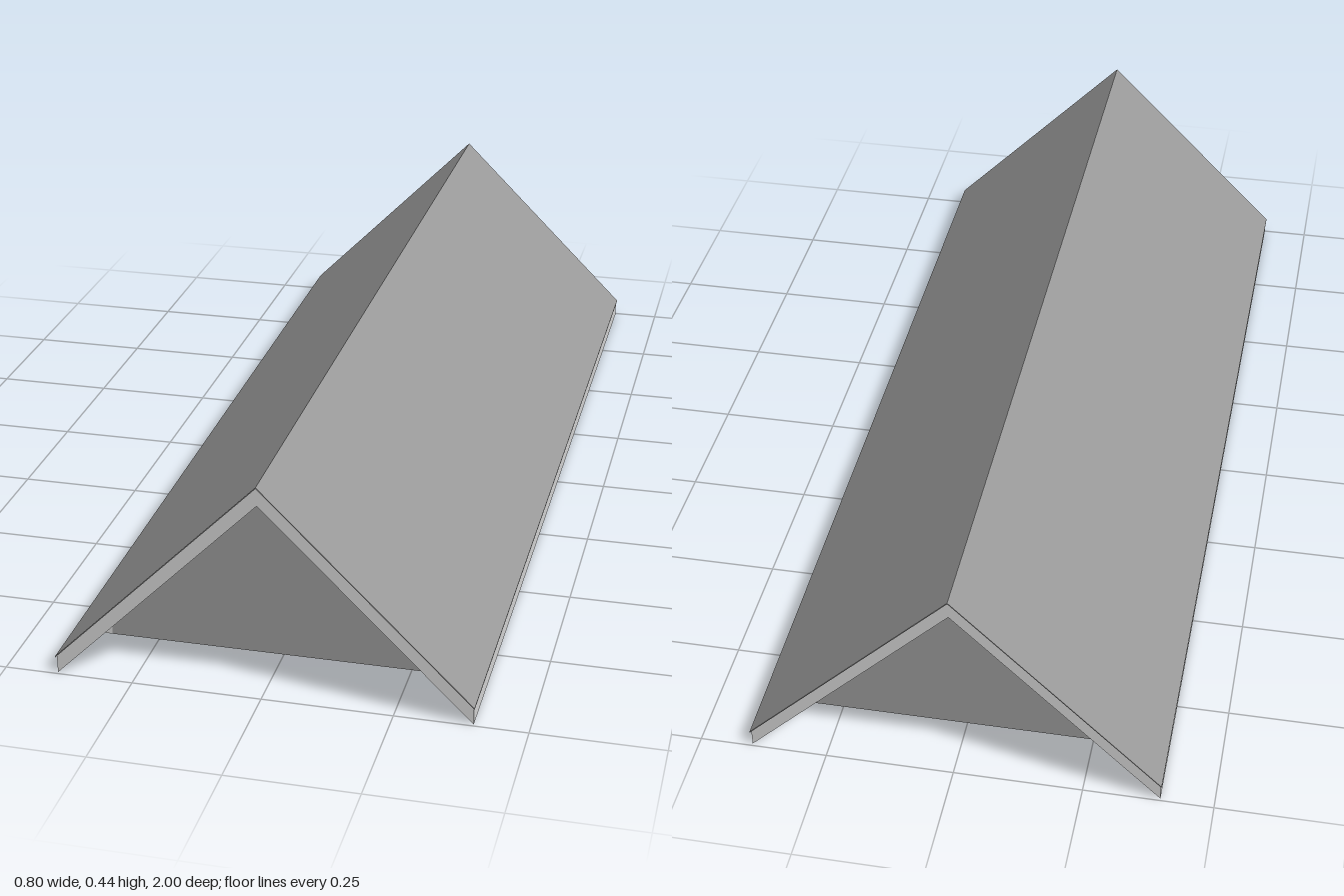
import * as THREE from 'three';

const trim = new THREE.MeshStandardMaterial({ color: 0xd4d4d4 });
trim.name = 'lightTrim';
const slate = new THREE.MeshStandardMaterial({ color: 0x999999 });
slate.name = 'greyCladding';

// Extrude an x-y outline along z from z0 to z1
function prism(name, points, z0, z1, material) {
  const shape = new THREE.Shape(points.map(([x, y]) => new THREE.Vector2(x, y)));
  const geometry = new THREE.ExtrudeGeometry(shape, { depth: z1 - z0, bevelEnabled: false });
  geometry.translate(0, 0, z0);
  const mesh = new THREE.Mesh(geometry, material);
  mesh.name = name;
  return mesh;
}

// Inverted V with vertical eave cuts
function chevron(halfWidth, eaveLow, peakLow, eaveHigh, peakHigh) {
  return [
    [-halfWidth, eaveLow], [0, peakLow], [halfWidth, eaveLow],
    [halfWidth, eaveHigh], [0, peakHigh], [-halfWidth, eaveHigh],
  ];
}

export function createModel() {
  const model = new THREE.Group();
  model.name = 'gableRoof';

  // Roof slab and its thin covering
  model.add(prism('roofSlab', chevron(0.398, 0, 0.398, 0.0365, 0.4345), -0.995, 0.995, trim));
  model.add(prism('roofCovering', chevron(0.4, 0.0345, 0.4345, 0.037, 0.437), -1, 1, slate));

  // Wall plates under both slopes; the underside stays open
  const inner = 0.317, outer = 0.338, base = 0.045, peak = 0.4;
  for (const s of [-1, 1]) {
    const plate = [[inner, base], [outer, base], [outer, peak - outer], [inner, peak - inner]];
    const outline = plate.map(([x, y]) => [s * x, y]);
    model.add(prism(s > 0 ? 'leftWallPlate' : 'rightWallPlate', outline, -0.91, 0.91, trim));
  }

  // Gable walls, light inside and clad outside
  const gable = [
    [-inner, base], [inner, base], [inner, peak - inner], [0, peak], [-inner, peak - inner],
  ];
  for (const s of [-1, 1]) {
    const end = s > 0 ? 'front' : 'back';
    const wall = prism(end + 'GableWall', gable, -0.008, 0.008, trim);
    wall.position.z = s * 0.897;
    const cladding = prism(end + 'GableCladding', gable, -0.0025, 0.0025, slate);
    cladding.position.z = s * 0.9075;
    model.add(wall, cladding);
  }
  return model;
}
